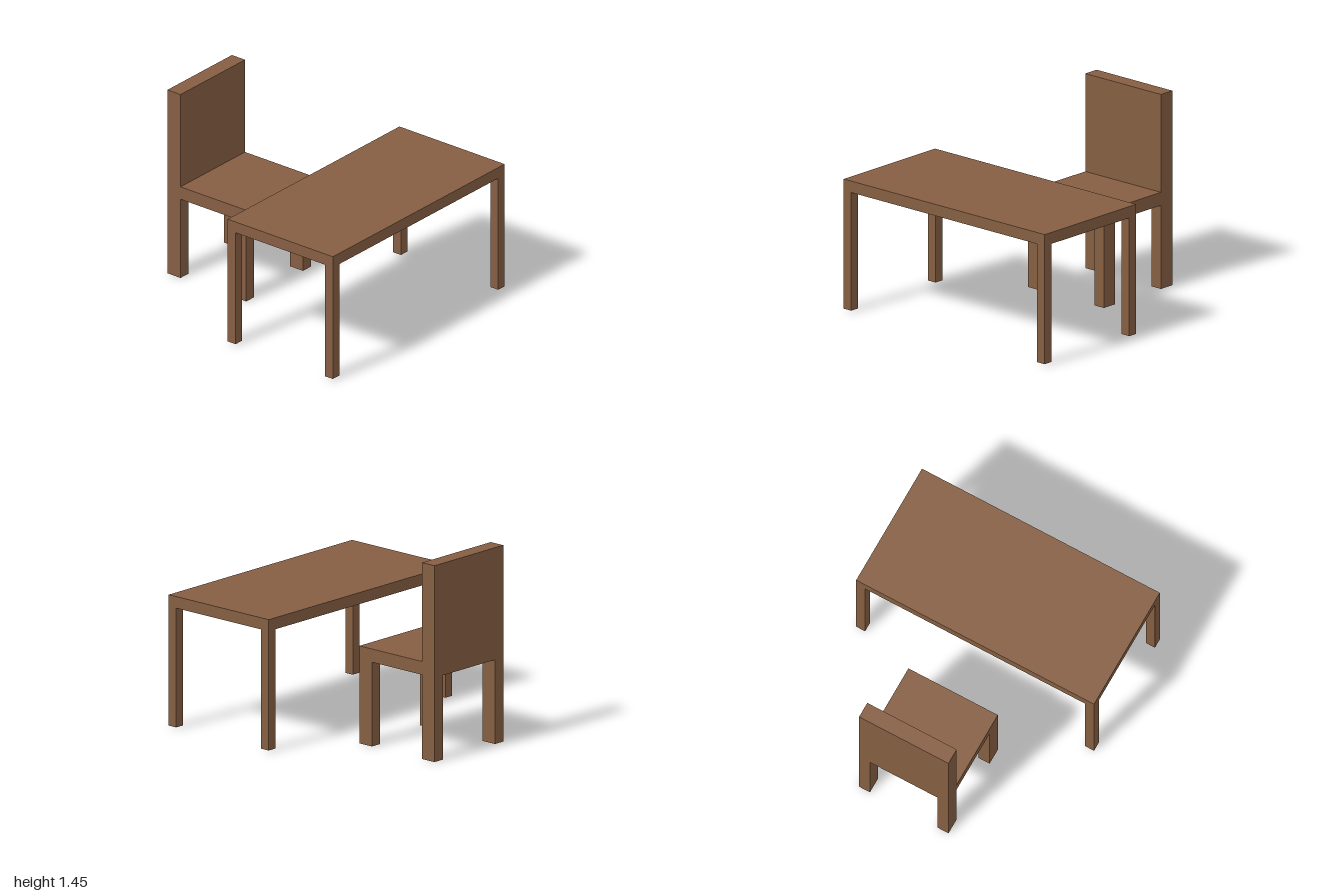
import * as THREE from 'three';

const wood = new THREE.MeshStandardMaterial({ color: 0x855e42 });
wood.name = 'brown wood';

// Box given by its lower and upper bounds on each axis
function slab(name, [x0, x1], [y0, y1], [z0, z1]) {
  const mesh = new THREE.Mesh(new THREE.BoxGeometry(x1 - x0, y1 - y0, z1 - z0), wood);
  mesh.position.set((x0 + x1) / 2, (y0 + y1) / 2, (z0 + z1) / 2);
  mesh.name = name;
  return mesh;
}

// Four legs flush with the corners of a footprint
function addLegs(group, name, [x0, x1], [y0, y1], halfDepth, width, depth) {
  for (const [side, xs] of [['Right', [x0, x0 + width]], ['Left', [x1 - width, x1]]]) {
    group.add(slab(`${name}Front${side}`, xs, [y0, y1], [halfDepth - depth, halfDepth]));
    group.add(slab(`${name}Back${side}`, xs, [y0, y1], [-halfDepth, depth - halfDepth]));
  }
}

export function createModel() {
  const model = new THREE.Group();
  model.name = 'tableAndChair';

  // Table: a long top on four slim legs
  const table = new THREE.Group();
  table.name = 'table';
  table.add(slab('tableTop', [0.04, 1], [0.89, 0.975], [-0.963, 0.963]));
  addLegs(table, 'tableLeg', [0.04, 1], [0.012, 0.89], 0.963, 0.072, 0.072);

  // Chair: faces the table, with a solid back
  const chair = new THREE.Group();
  chair.name = 'chair';
  chair.add(slab('seat', [-0.88, -0.28], [0.62, 0.718], [-0.362, 0.362]));
  chair.add(slab('backrest', [-1, -0.88], [0.62, 1.445], [-0.362, 0.362]));
  addLegs(chair, 'chairLeg', [-1, -0.28], [0, 0.62], 0.362, 0.12, 0.088);

  model.add(table, chair);
  return model;
}
